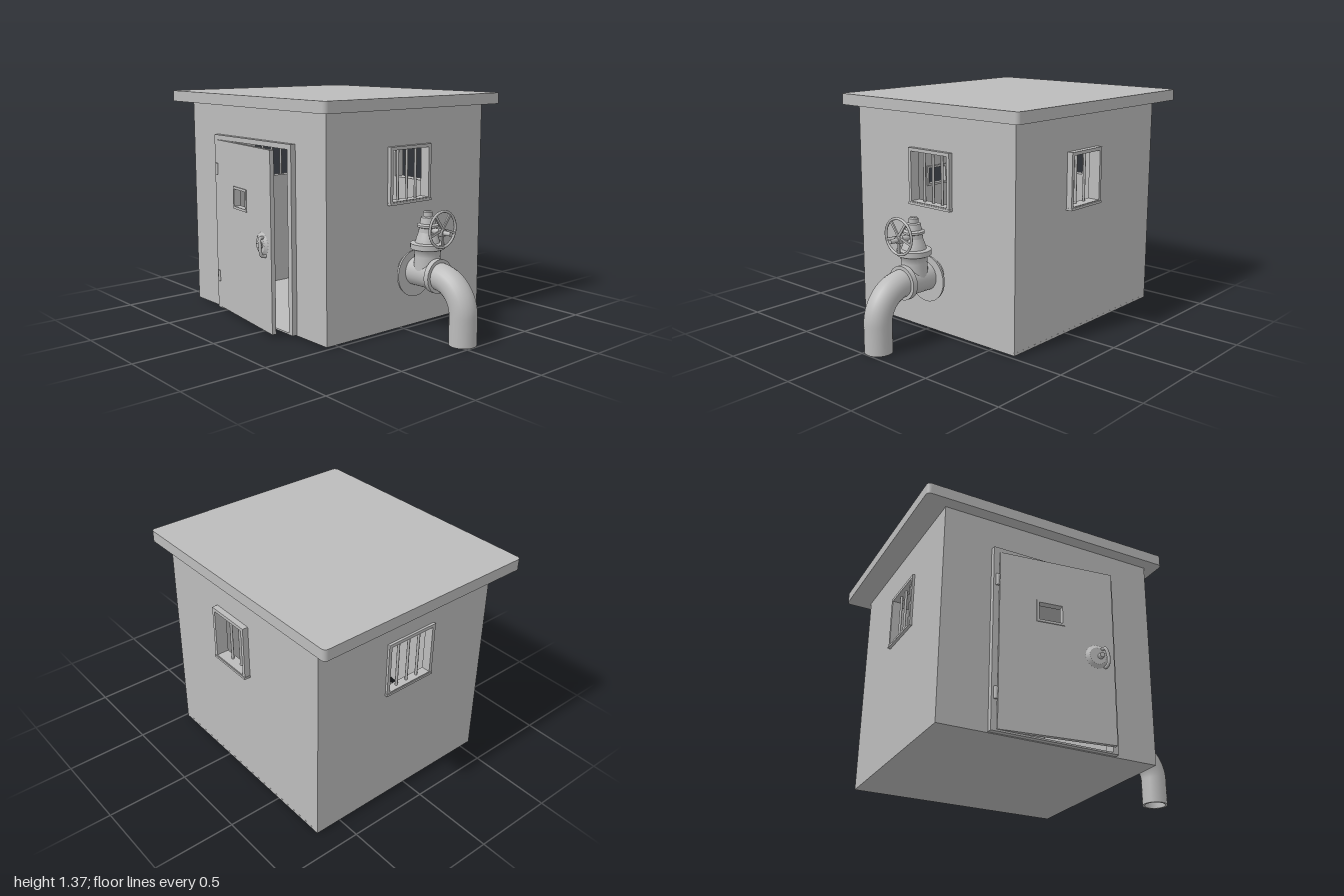
import * as THREE from 'three';

const concrete = new THREE.MeshStandardMaterial({ color: 0xbcbcbc, side: THREE.DoubleSide });
concrete.name = 'grey concrete';

function add(parent, name, geo, x = 0, y = 0, z = 0) {
  const m = new THREE.Mesh(geo, concrete);
  m.name = name;
  m.position.set(x, y, z);
  parent.add(m);
  return m;
}

function group(parent, name, x = 0, y = 0, z = 0, ry = 0) {
  const g = new THREE.Group();
  g.name = name;
  g.position.set(x, y, z);
  g.rotation.y = ry;
  parent.add(g);
  return g;
}

// Rectangle path given as [x0, y0, x1, y1]
function trace(path, [x0, y0, x1, y1]) {
  path.moveTo(x0, y0);
  path.lineTo(x1, y0);
  path.lineTo(x1, y1);
  path.lineTo(x0, y1);
  path.closePath();
  return path;
}

// Slab with an optional rectangular hole, extruded from z0 to z1
function panel(parent, name, rect, hole, z0, z1) {
  const s = trace(new THREE.Shape(), rect);
  if (hole) s.holes.push(trace(new THREE.Path(), hole));
  return add(parent, name, new THREE.ExtrudeGeometry(s, { depth: z1 - z0, bevelEnabled: false }), 0, 0, z0);
}

const inset = ([a, b, c, d], t) => [a + t, b + t, c - t, d - t];

// Wall with a framed, barred window; local +z points outward
function windowWall(wall, rect, win, out, bars) {
  const hole = inset(win, 0.02);
  panel(wall, 'wall', rect, hole, -0.04, 0);
  panel(wall, 'windowFrame', win, hole, 0, out);
  add(wall, 'windowSill', new THREE.BoxGeometry(win[2] - win[0] + 0.004, 0.014, out + 0.004),
    (win[0] + win[2]) / 2, win[1] + 0.007, out / 2 + 0.002);
  for (let i = 1; i <= bars; i++) {
    const x = hole[0] + (hole[2] - hole[0]) * i / (bars + 1);
    add(wall, 'windowBar', new THREE.CylinderGeometry(0.008, 0.008, hole[3] - hole[1], 8),
      x, (hole[1] + hole[3]) / 2, -0.015);
  }
}

// Cylinder lying along z
function disc(parent, name, r0, r1, len, x, y, z, seg = 24) {
  const g = new THREE.CylinderGeometry(r1, r0, len, seg).rotateX(Math.PI / 2);
  return add(parent, name, g, x, y, z);
}

function buildHouse(root) {
  const house = group(root, 'house');
  add(house, 'floor', new THREE.BoxGeometry(1.235, 0.015, 1.34), 0.05, 0.0125, -0.19);

  windowWall(group(house, 'frontWall', 0, 0, 0.48), [-0.57, 0.005, 0.667, 1.3],
    [-0.12, 0.75, 0.205, 1.085], 0.025, 3);
  windowWall(group(house, 'backWall', 0, 0, -0.86, Math.PI), [-0.667, 0.005, 0.57, 1.3],
    [-0.195, 0.75, 0.145, 1.085], 0.014, 3);
  windowWall(group(house, 'rightWall', 0.667, 0, 0, Math.PI / 2), [-0.44, 0.005, 0.82, 1.3],
    [-0.025, 0.75, 0.265, 1.085], 0.035, 2);

  // Door wall: local x runs towards the front
  const left = group(house, 'doorWall', -0.57, 0, 0, -Math.PI / 2);
  const doorway = [-0.535, 0.02, 0.175, 1.08];
  panel(left, 'wall', [-0.82, 0.005, 0.44, 1.3], doorway, -0.04, 0);
  panel(left, 'doorFrame', [-0.57, 0.01, 0.21, 1.11], doorway, 0, 0.032);

  // Flat roof with rounded corners
  const r = 0.025, x0 = -0.645, x1 = 0.745, y0 = -0.56, y1 = 1;
  const s = new THREE.Shape();
  s.absarc(x1 - r, y1 - r, r, 0, Math.PI / 2);
  s.absarc(x0 + r, y1 - r, r, Math.PI / 2, Math.PI);
  s.absarc(x0 + r, y0 + r, r, Math.PI, Math.PI * 1.5);
  s.absarc(x1 - r, y0 + r, r, Math.PI * 1.5, Math.PI * 2);
  const roof = new THREE.ExtrudeGeometry(s, { depth: 0.067, bevelEnabled: false, curveSegments: 4 });
  add(house, 'roof', roof.rotateX(-Math.PI / 2), 0, 1.298, 0);
}

function buildDoor(root) {
  // Slightly open leaf, hinged at its rear edge
  const door = group(root, 'door', -0.582, 0, -0.53, -Math.PI / 2 - 0.13);
  const peep = [0.215, 0.685, 0.385, 0.82];
  const hole = inset(peep, 0.015);
  panel(door, 'doorLeaf', [0, 0.02, 0.68, 1.08], hole, 0, 0.025);
  panel(door, 'peepholeFrame', peep, hole, -0.012, 0.03);
  for (const y of [0.22, 0.9]) {
    add(door, 'hinge', new THREE.CylinderGeometry(0.013, 0.013, 0.07, 10), -0.012, y, 0.022);
  }
  // Rosette, stem and curved pull
  disc(door, 'handleRosette', 0.07, 0.05, 0.014, 0.575, 0.53, 0.032);
  disc(door, 'handleStem', 0.018, 0.015, 0.03, 0.59, 0.53, 0.05, 12);
  const pull = new THREE.CatmullRomCurve3([
    [0.6, 0.575, 0.03], [0.61, 0.575, 0.058], [0.625, 0.525, 0.066], [0.625, 0.475, 0.056], [0.62, 0.47, 0.03],
  ].map((p) => new THREE.Vector3(...p)));
  add(door, 'handlePull', new THREE.TubeGeometry(pull, 16, 0.01, 8));
}

function buildSpout(root) {
  const X = 0.05, Y = 0.355;
  const spout = group(root, 'spout', X);

  // Hollow elbow pipe
  const path = new THREE.CurvePath();
  const v = (y, z) => new THREE.Vector3(0, y, z);
  const k = 0.19, c = k * 0.448;
  path.add(new THREE.LineCurve3(v(0, 0.92), v(Y - k, 0.92)));
  path.add(new THREE.CubicBezierCurve3(v(Y - k, 0.92), v(Y - c, 0.92), v(Y, 0.92 - c), v(Y, 0.92 - k)));
  path.add(new THREE.LineCurve3(v(Y, 0.92 - k), v(Y, 0.7)));
  add(spout, 'pipe', new THREE.TubeGeometry(path, 32, 0.08, 20));
  add(spout, 'pipeBore', new THREE.TubeGeometry(path, 32, 0.066, 20));
  add(spout, 'pipeRim', new THREE.RingGeometry(0.066, 0.08, 20).rotateX(Math.PI / 2), 0, 0.001, 0.92);

  // Valve body and flanges
  disc(spout, 'valveBody', 0.085, 0.082, 0.25, 0, Y, 0.595);
  disc(spout, 'pipeFlange', 0.1, 0.1, 0.032, 0, Y, 0.722);
  disc(spout, 'wallFlange', 0.135, 0.14, 0.018, 0, 0.34, 0.535, 32);

  // Upright neck and bonnet, turned about the vertical axis
  const profile = [[0.08, 0.36], [0.075, 0.46], [0.078, 0.495], [0.1, 0.505], [0.1, 0.535], [0.072, 0.54],
    [0.066, 0.56], [0.052, 0.6], [0.05, 0.625], [0.062, 0.63], [0.062, 0.642], [0.046, 0.65],
    [0.04, 0.685], [0.027, 0.69], [0.027, 0.715], [0.02, 0.722], [0, 0.722]];
  const pts = [];
  profile.forEach(([r, y], i) => {
    pts.push(new THREE.Vector2(r, y));
    if (i > 2 && i < profile.length - 1) pts.push(new THREE.Vector2(r, y));
  });
  add(spout, 'bonnet', new THREE.LatheGeometry(pts, 24), 0, 0, 0.635);

  // Handwheel facing the front
  const wheel = group(spout, 'handwheel', 0, 0.63, 0.752);
  add(wheel, 'wheelRim', new THREE.TorusGeometry(0.103, 0.008, 8, 32));
  disc(wheel, 'wheelHub', 0.026, 0.022, 0.03, 0, -0.018, 0, 12);
  disc(wheel, 'wheelStem', 0.02, 0.012, 0.18, 0, -0.018, -0.025, 12);
  for (let i = 0; i < 5; i++) {
    const spoke = new THREE.BoxGeometry(0.014, 0.1, 0.01).translate(0, 0.05, 0);
    add(wheel, 'wheelSpoke', spoke).rotation.z = Math.PI / 5 + i * Math.PI * 0.4;
  }
}

export function createModel() {
  const root = new THREE.Group();
  root.name = 'pumpHouse';
  buildHouse(root);
  buildDoor(root);
  buildSpout(root);
  return root;
}
